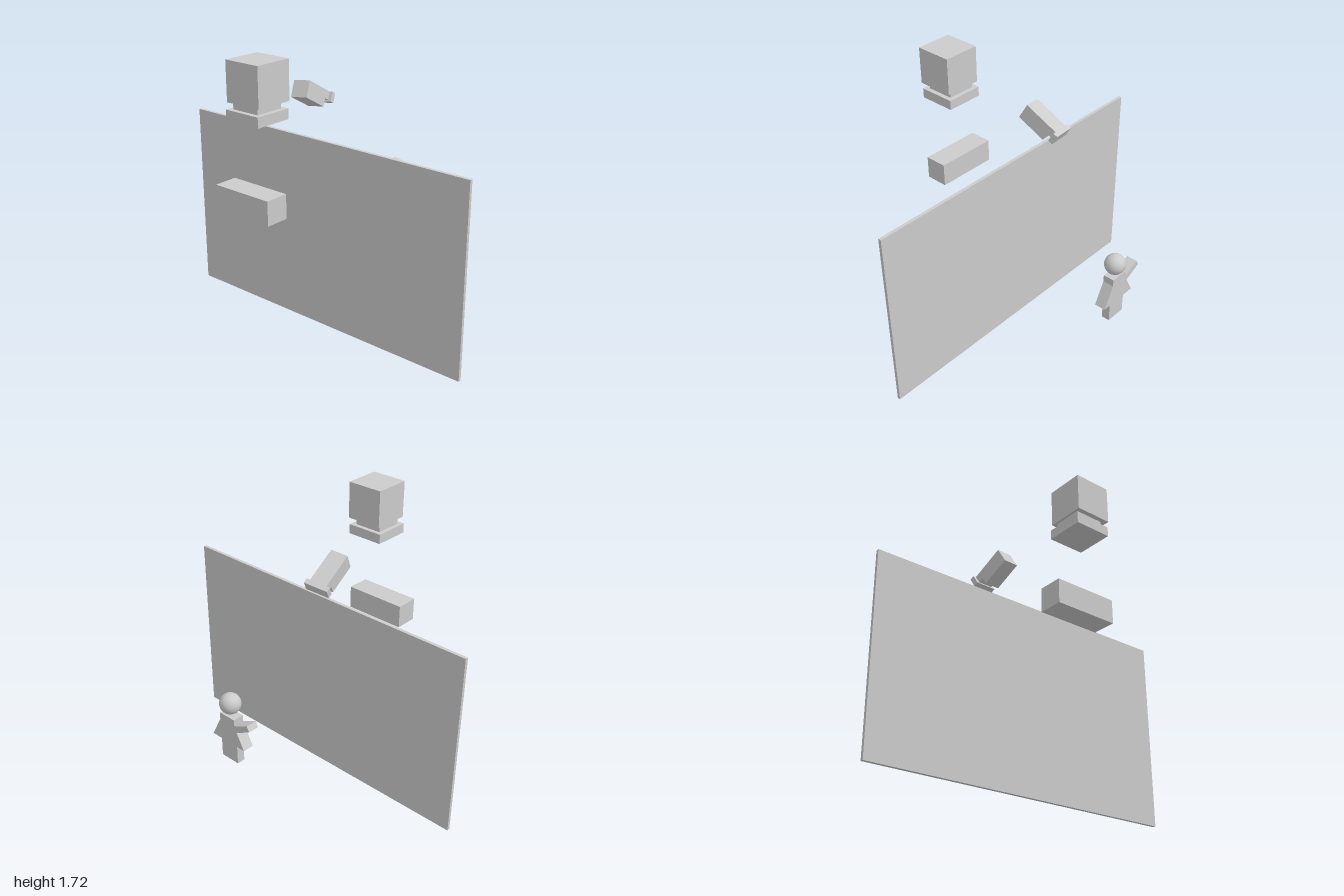
import * as THREE from 'three';

const material = new THREE.MeshStandardMaterial({ color: 0xcccccc });

// Box given by its extents on each axis
function box(parent, name, [x0, x1], [y0, y1], [z0, z1]) {
  const mesh = new THREE.Mesh(new THREE.BoxGeometry(x1 - x0, y1 - y0, z1 - z0), material);
  mesh.position.set((x0 + x1) / 2, (y0 + y1) / 2, (z0 + z1) / 2);
  mesh.name = name;
  parent.add(mesh);
}

function group(parent, name) {
  const g = new THREE.Group();
  g.name = name;
  parent.add(g);
  return g;
}

export function createModel() {
  const model = new THREE.Group();

  // Dividing wall
  box(model, 'wall', [-0.111, -0.091], [0, 1.167], [-1, 1]);

  // Desktop computer floating above a plain block
  const computer = group(model, 'computer');
  box(computer, 'monitor', [-0.705, -0.48], [1.495, 1.717], [-0.1, 0.126]);
  box(computer, 'monitorNeck', [-0.677, -0.507], [1.455, 1.495], [-0.085, 0.09]);
  box(computer, 'computerBase', [-0.705, -0.48], [1.397, 1.455], [-0.111, 0.118]);
  box(model, 'block', [-0.681, -0.54], [0.864, 1.005], [-0.24, 0.146]);

  // Tilted camera, built along its own axis
  const camera = group(model, 'camera');
  box(camera, 'cameraBody', [-0.0935, 0.0935], [-0.05, 0.05], [-0.053, 0.053]);
  box(camera, 'cameraNeck', [0.0935, 0.127], [0, 0.05], [-0.053, 0.053]);
  box(camera, 'cameraFrontPlate', [0.127, 0.157], [-0.01, 0.05], [-0.074, 0.074]);
  const along = new THREE.Vector3(0.872, -0.48, -0.087).normalize();
  const up = new THREE.Vector3(0.148, 0.098, 0.984).cross(along).normalize();
  const side = along.clone().cross(up);
  camera.quaternion.setFromRotationMatrix(new THREE.Matrix4().makeBasis(along, up, side));
  camera.position.set(-0.03, 1.399, -0.142);

  // Figure in a flared dress with one raised arm
  const figure = group(model, 'figure');
  const outline = [
    [0.042, 0.733], [0.042, 0.69], [0.107, 0.56], [-0.139, 0.56], [-0.086, 0.658],
    [-0.187, 0.711], [-0.171, 0.743], [-0.07, 0.695], [-0.07, 0.733],
  ].map(([z, y]) => new THREE.Vector2(z, y));
  const dress = new THREE.ExtrudeGeometry(new THREE.Shape(outline), { depth: 0.067, bevelEnabled: false });
  dress.translate(0, 0, -0.0335).rotateY(-Math.PI / 2);
  const torso = new THREE.Mesh(dress, material);
  torso.position.x = 0.643;
  torso.name = 'dressAndArm';
  figure.add(torso);

  box(figure, 'legs', [0.619, 0.668], [0.436, 0.56], [-0.075, 0.048]);

  const head = new THREE.Mesh(new THREE.SphereGeometry(0.061, 32, 16), material);
  head.position.set(0.643, 0.801, -0.01);
  head.name = 'head';
  figure.add(head);

  return model;
}
